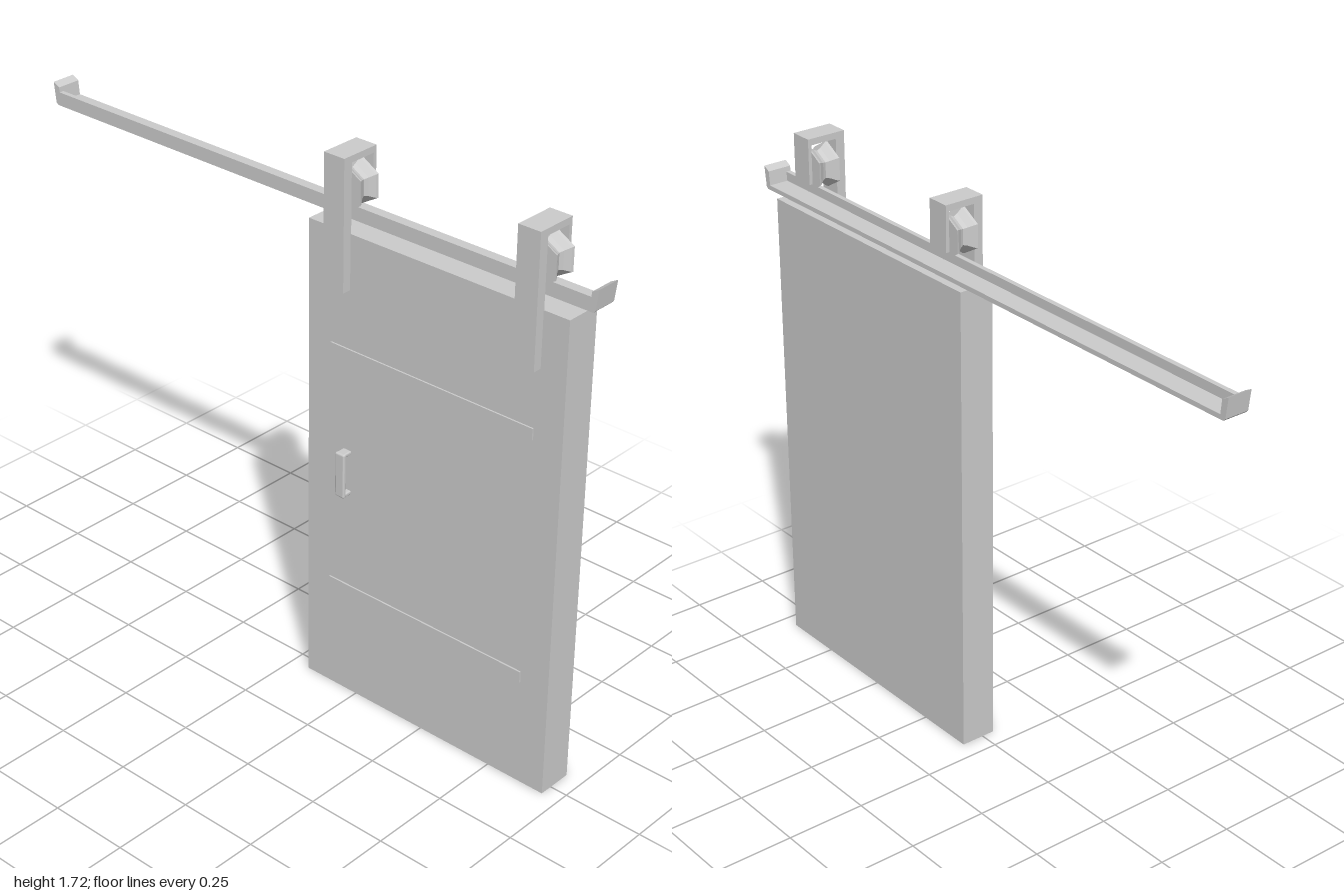
import * as THREE from 'three';
import { RoundedBoxGeometry } from 'three/addons/geometries/RoundedBoxGeometry.js';

const material = new THREE.MeshStandardMaterial({ color: 0xcccccc, flatShading: true, side: THREE.DoubleSide });

function add(parent, name, geometry, x = 0, y = 0, z = 0) {
  const mesh = new THREE.Mesh(geometry, material);
  mesh.name = name;
  mesh.position.set(x, y, z);
  parent.add(mesh);
  return mesh;
}

// Box given by its extents along each axis
function box(parent, name, [x0, x1], [y0, y1], [z0, z1]) {
  return add(parent, name, new THREE.BoxGeometry(x1 - x0, y1 - y0, z1 - z0),
    (x0 + x1) / 2, (y0 + y1) / 2, (z0 + z1) / 2);
}

// Outline of [a, b] points extruded by depth
function extrude(points, depth) {
  const shape = new THREE.Shape(points.map(([a, b]) => new THREE.Vector2(a, b)));
  return new THREE.ExtrudeGeometry(shape, { depth, bevelEnabled: false });
}

// Hook-shaped strap with a grooved six-sided roller on an axle
function createHanger(x) {
  const hanger = new THREE.Group();
  hanger.name = 'hanger';
  hanger.position.x = x;

  // Strap outline in (z, y), swept across the width
  const strap = extrude([
    [0.068, 1.32], [0.068, 1.715], [-0.06, 1.715], [-0.06, 1.575],
    [-0.049, 1.575], [-0.049, 1.695], [0.038, 1.695], [0.038, 1.32],
  ], 0.072);
  strap.rotateY(-Math.PI / 2);
  add(hanger, 'strap', strap, 0.036);

  // Roller with a concave groove that rides on the rail's front wall
  const profile = [[0, -0.036], [0.071, -0.036], [0.068, -0.029], [0.054, -0.012], [0.048, 0],
    [0.054, 0.012], [0.068, 0.029], [0.071, 0.036], [0, 0.036]];
  const roller = new THREE.LatheGeometry(profile.map(([r, h]) => new THREE.Vector2(r, h)), 6);
  roller.rotateX(Math.PI / 2);
  add(hanger, 'roller', roller, 0, 1.61, -0.005);

  const axle = new THREE.CylinderGeometry(0.011, 0.011, 0.09, 8);
  axle.rotateX(Math.PI / 2);
  add(hanger, 'axle', axle, 0, 1.61, -0.005);
  return hanger;
}

export function createModel() {
  const model = new THREE.Group();
  model.name = 'slidingBarnDoor';

  // Door panel and its shallow cross battens
  box(model, 'doorPanel', [0.06, 0.945], [0, 1.488], [-0.073, 0.04]);
  for (const y of [0.335, 1.105])
    box(model, 'batten', [0.145, 0.85], [y, y + 0.035], [0.035, 0.045]);

  // Pull handle
  const handle = new THREE.Group();
  handle.name = 'handle';
  add(handle, 'grip', new RoundedBoxGeometry(0.034, 0.142, 0.013, 2, 0.005), 0.206, 0.747, 0.0665);
  for (const y of [0.682, 0.812])
    add(handle, 'handleStandoff', new RoundedBoxGeometry(0.03, 0.012, 0.036, 2, 0.004), 0.206, y, 0.053);
  model.add(handle);

  // L-section rail: flat floor with a raised front wall
  const rail = extrude([
    [0, 1.508], [0, 1.55], [-0.015, 1.55], [-0.015, 1.522], [-0.077, 1.522], [-0.077, 1.508],
  ], 1.97);
  rail.rotateY(-Math.PI / 2);
  add(model, 'rail', rail, 0.985);

  // Flared end stops
  for (const s of [-1, 1])
    add(model, 'railEndStop', extrude([
      [0.985 * s, 1.508], [0.992 * s, 1.515], [s, 1.577], [0.978 * s, 1.565], [0.972 * s, 1.508],
    ], 0.077), 0, 0, -0.077);

  for (const x of [0.175, 0.826]) model.add(createHanger(x));
  return model;
}
